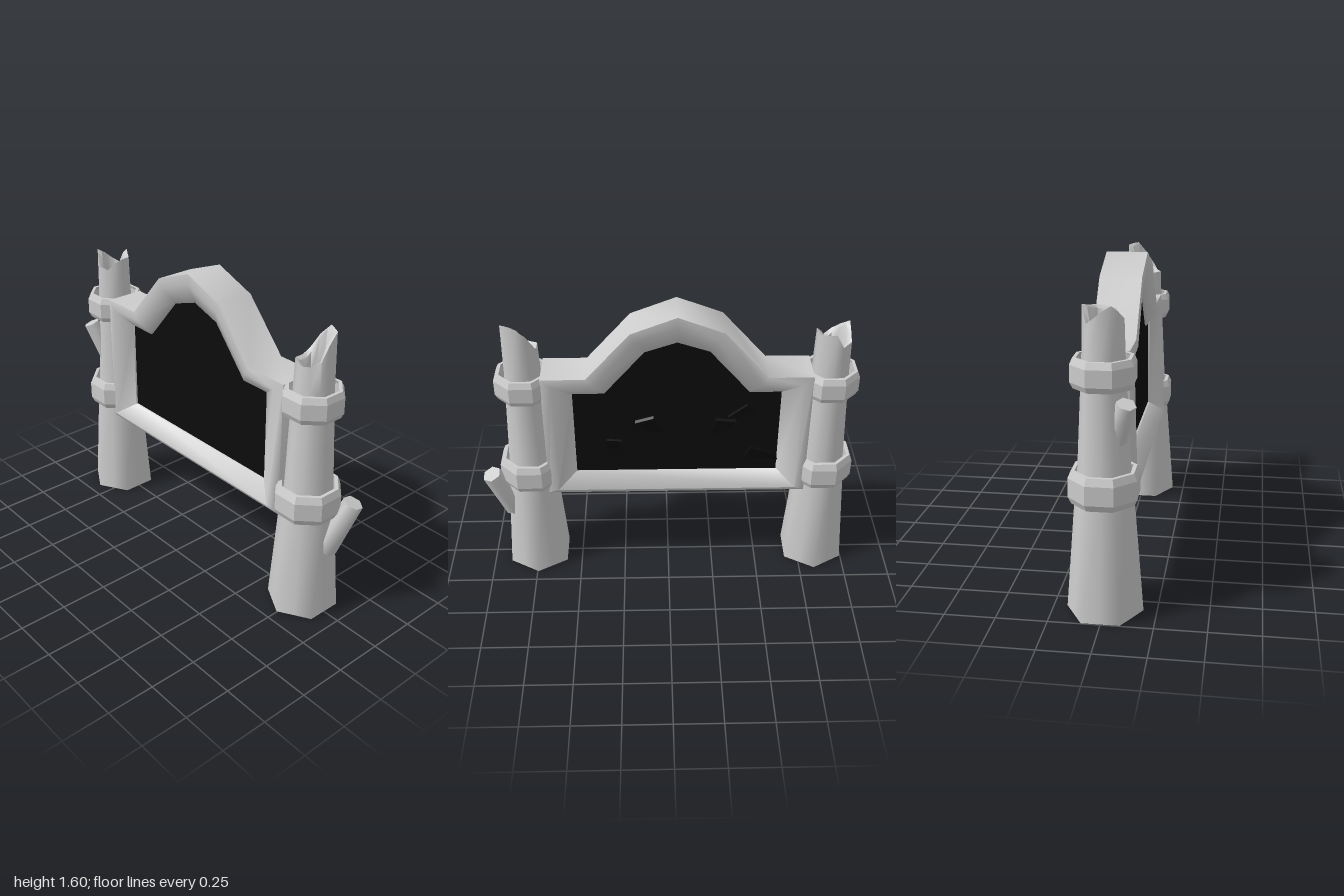
import * as THREE from 'three';
import { toCreasedNormals } from 'three/addons/utils/BufferGeometryUtils.js';

const grey = new THREE.MeshStandardMaterial({ color: 0xcccccc, side: THREE.DoubleSide });
const black = new THREE.MeshStandardMaterial({ color: 0x0c0c0c, side: THREE.DoubleSide });

// Skins a list of closed cross-sections; sharp corners stay creased.
function loft(rings, crease = 1.15) {
  const n = rings[0].length, index = [];
  for (let i = 0; i < rings.length - 1; i++) {
    for (let k = 0; k < n; k++) {
      const a = i * n + k, b = i * n + (k + 1) % n;
      index.push(a, b, b + n, a, b + n, a + n);
    }
  }
  const geo = new THREE.BufferGeometry();
  geo.setAttribute('position', new THREE.Float32BufferAttribute(rings.flat(2), 3));
  geo.setIndex(index);
  return toCreasedNormals(geo, crease);
}

function add(parent, name, geo, mat = grey) {
  const mesh = new THREE.Mesh(geo, mat);
  mesh.name = name;
  parent.add(mesh);
  return mesh;
}

// Hexagon with corners on +z and -z, plus the middle of each side.
function hexRing(r, heightAt) {
  return Array.from({ length: 12 }, (_, k) => {
    const t = k * Math.PI / 6, s = k % 2 ? r * Math.cos(Math.PI / 6) : r;
    return [s * Math.sin(t), heightAt(k), s * Math.cos(t)];
  });
}

// Tapered hollow log with a splintered top
function postGeometry(rim) {
  const body = [[0.185, 0], [0.142, 0.56], [0.126, 0.72], [0.107, 1.11], [0.1, 1.25]];
  return loft([
    ...body.map(([r, y]) => hexRing(r, () => y)),
    hexRing(0.095, k => rim[k]),
    hexRing(0.07, k => rim[k] - 0.012),
    hexRing(0.062, () => 1.3),
    hexRing(0.001, () => 1.29),
  ]);
}

// Faceted eight-sided binding round a post
function bandGeometry(r, y0, y1) {
  const h = y1 - y0;
  const profile = [[r * 0.8, y0], [r * 0.91, y0], [r, y0 + h * 0.2], [r, y0 + h * 0.78], [r * 0.91, y1], [r * 0.8, y1]];
  const rings = profile.map(([s, y]) => Array.from({ length: 8 }, (_, k) => {
    const t = (k + 0.5) * Math.PI / 4;
    return [s * Math.sin(t), y, s * Math.cos(t)];
  }));
  return loft(rings, 0.3);
}

// Sawn-off branch running from one point to another
function addBranch(parent, name, from, to, r0, r1) {
  const a = new THREE.Vector3(...from), b = new THREE.Vector3(...to);
  const dir = b.clone().sub(a);
  const geo = new THREE.CylinderGeometry(r1, r0, dir.length(), 6);
  const mesh = add(parent, name, toCreasedNormals(geo, 1.15));
  mesh.position.copy(a).add(b).multiplyScalar(0.5);
  mesh.quaternion.setFromUnitVectors(new THREE.Vector3(0, 1, 0), dir.normalize());
}

export function createModel() {
  const model = new THREE.Group();
  model.name = 'signboard';

  // Posts with their bindings; rim heights run from +z towards +x
  const posts = [
    ['rightPost', -0.835, [1.42, 1.4, 1.45, 1.46, 1.465, 1.47, 1.48, 1.4, 1.42, 1.46, 1.49, 1.46]],
    ['leftPost', 0.745, [1.375, 1.38, 1.41, 1.48, 1.535, 1.535, 1.53, 1.48, 1.4, 1.38, 1.38, 1.375]],
  ];
  for (const [name, x, rim] of posts) {
    const post = new THREE.Group();
    post.name = name;
    post.position.x = x;
    add(post, 'log', postGeometry(rim));
    add(post, 'lowerBand', bandGeometry(0.174, 0.56, 0.72));
    add(post, 'upperBand', bandGeometry(0.157, 1.11, 1.25));
    model.add(post);
  }

  // Branch stubs
  addBranch(model, 'leftBranch', [0.855, 0.36, -0.035], [0.952, 0.652, -0.105], 0.058, 0.052);
  addBranch(model, 'rightBranch', [-0.855, 0.86, 0.06], [-0.923, 1.055, 0.115], 0.05, 0.047);

  // Arched frame: outer x, y, inner x, y and half depth for one half
  const half = [
    [0.695, 0.52, 0.54, 0.635, 0.137],
    [0.695, 1.25, 0.54, 1.135, 0.12],
    [0.465, 1.25, 0.375, 1.135, 0.112],
    [0.235, 1.51, 0.165, 1.38, 0.108],
    [0, 1.6, 0, 1.435, 0.108],
  ];
  const mirrored = half.slice(0, -1).reverse().map(([ox, oy, ix, iy, d]) => [-ox, oy, -ix, iy, d]);
  const path = [...half, ...mirrored];
  const rings = [...path, path[0]].map(([ox, oy, ix, iy, d]) =>
    [[0, 0.106], [0, -0.106], [0.35, -d], [1, -0.06], [1, 0.06], [0.35, d]].map(([u, z]) =>
      [ox + (ix - ox) * u, oy + (iy - oy) * u, z]));
  const board = new THREE.Group();
  board.name = 'board';
  board.position.x = -0.045;
  add(board, 'frame', loft(rings));

  // Dark panel filling the frame
  const outline = new THREE.Shape(path.map(p => new THREE.Vector2(p[2], p[3])));
  const panel = new THREE.ExtrudeGeometry(outline, { depth: 0.11, bevelEnabled: false });
  panel.translate(0, 0, -0.06);
  add(board, 'panel', panel, black);
  model.add(board);

  // Splintered pieces lifting off the back of the panel: x, y, size, roll, tilt
  const splinter = new THREE.ExtrudeGeometry(new THREE.Shape([
    new THREE.Vector2(-0.5, 0.9), new THREE.Vector2(-0.35, -0.6),
    new THREE.Vector2(0.1, -1), new THREE.Vector2(0.5, 0.8),
  ]), { depth: 0.15, bevelEnabled: false });
  const pieces = [
    [-0.27, 0.92, 0.11, 0.3, 0.5],
    [0.09, 0.93, 0.11, -0.4, 0.5],
    [-0.38, 1.02, 0.08, 0.9, 0.4],
    [-0.5, 0.74, 0.1, -1.2, 0.4],
    [0.3, 0.8, 0.08, 0.2, 0.3],
  ];
  for (const [x, y, size, roll, tilt] of pieces) {
    const piece = add(model, 'splinter', splinter, black);
    piece.position.set(x, y, -0.085);
    piece.scale.setScalar(size);
    piece.rotation.set(-tilt, 0, roll);
  }
  return model;
}
